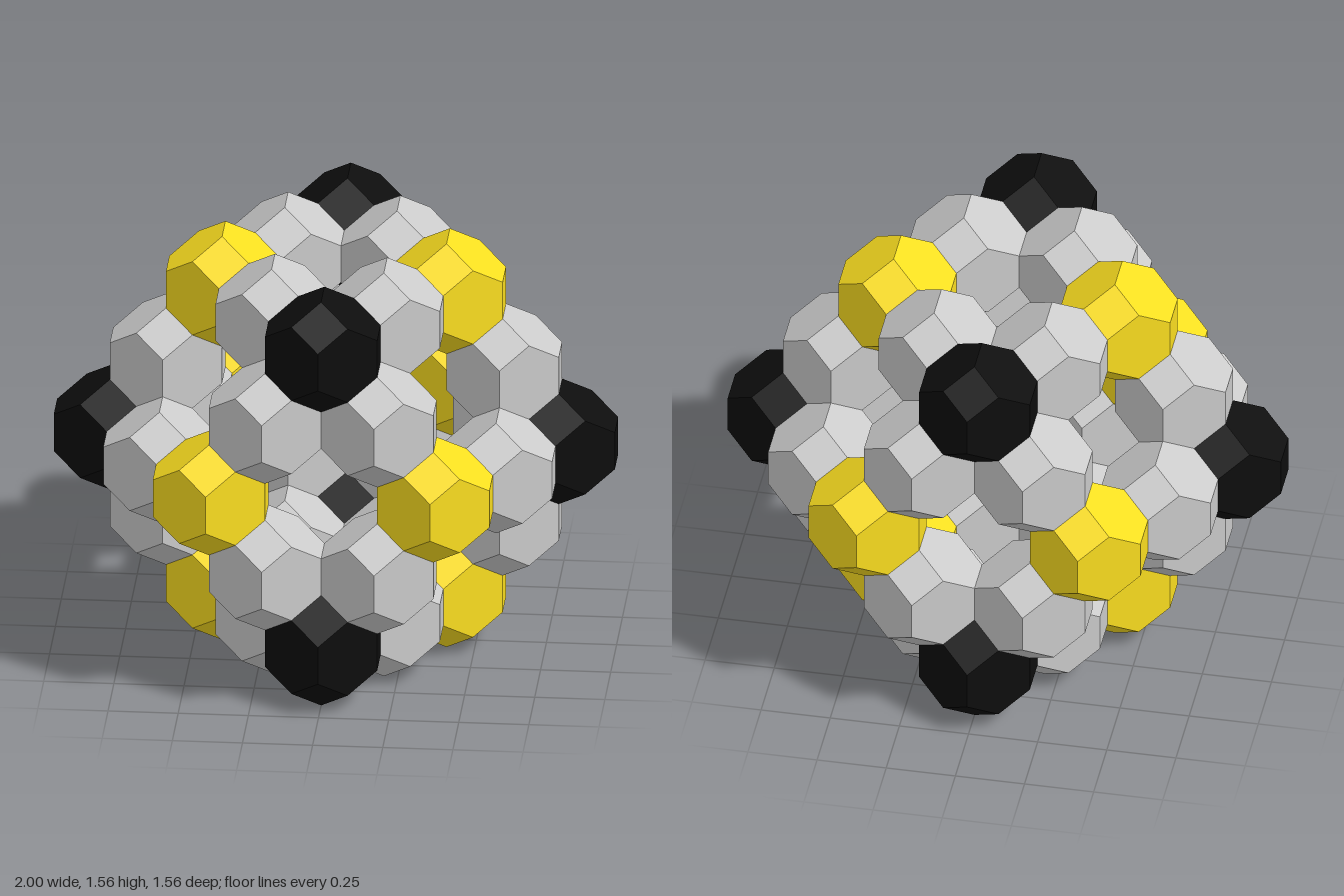
import * as THREE from 'three';
import { ConvexGeometry } from 'three/addons/geometries/ConvexGeometry.js';

const UNIT = 0.1;
const SIGNS = [-1, 1];

// Truncated octahedron: every permutation of (0, ±1, ±2)
function createCellGeometry() {
  const points = [];
  for (let axis = 0; axis < 3; axis++)
    for (const a of SIGNS)
      for (const b of SIGNS)
        for (const [p, q] of [[1, 2], [2, 1]]) {
          const v = new THREE.Vector3();
          v.setComponent((axis + 1) % 3, a * p * UNIT);
          v.setComponent((axis + 2) % 3, b * q * UNIT);
          points.push(v);
        }
  return new ConvexGeometry(points);
}

export function createModel() {
  const model = new THREE.Group();
  model.name = 'rhombicDodecahedronOfCells';

  // The lattice is turned an eighth of a turn about x and lifted onto the ground
  const lattice = new THREE.Group();
  lattice.name = 'cellLattice';
  lattice.rotation.x = Math.PI / 4;
  lattice.position.y = 5.5 * Math.SQRT2 * UNIT;
  model.add(lattice);

  const geometry = createCellGeometry();
  const material = (color) => new THREE.MeshStandardMaterial({ color, flatShading: true });
  const black = material(0x0d0d0d);
  const yellow = material(0xfcdf20);
  const grey = material(0xcccccc);

  function addCell(name, mat, position) {
    const cell = new THREE.Mesh(geometry, mat);
    cell.name = name;
    cell.position.copy(position).multiplyScalar(UNIT);
    lattice.add(cell);
  }

  // Black cells: the six four-way corners, on the axes
  const axisCorners = [];
  for (let axis = 0; axis < 3; axis++)
    for (const s of SIGNS) axisCorners.push(new THREE.Vector3().setComponent(axis, 8 * s));
  axisCorners.forEach((p) => addCell('fourWayCornerCell', black, p));

  // Yellow cells: the eight three-way corners, on a cube
  for (const x of SIGNS)
    for (const y of SIGNS)
      for (const z of SIGNS) {
        const corner = new THREE.Vector3(x, y, z).multiplyScalar(4);
        addCell('threeWayCornerCell', yellow, corner);

        // Grey cells: halfway along the three edges leaving this corner
        for (const p of axisCorners)
          if (p.dot(corner) > 0) addCell('edgeCell', grey, p.clone().lerp(corner, 0.5));
      }

  return model;
}
